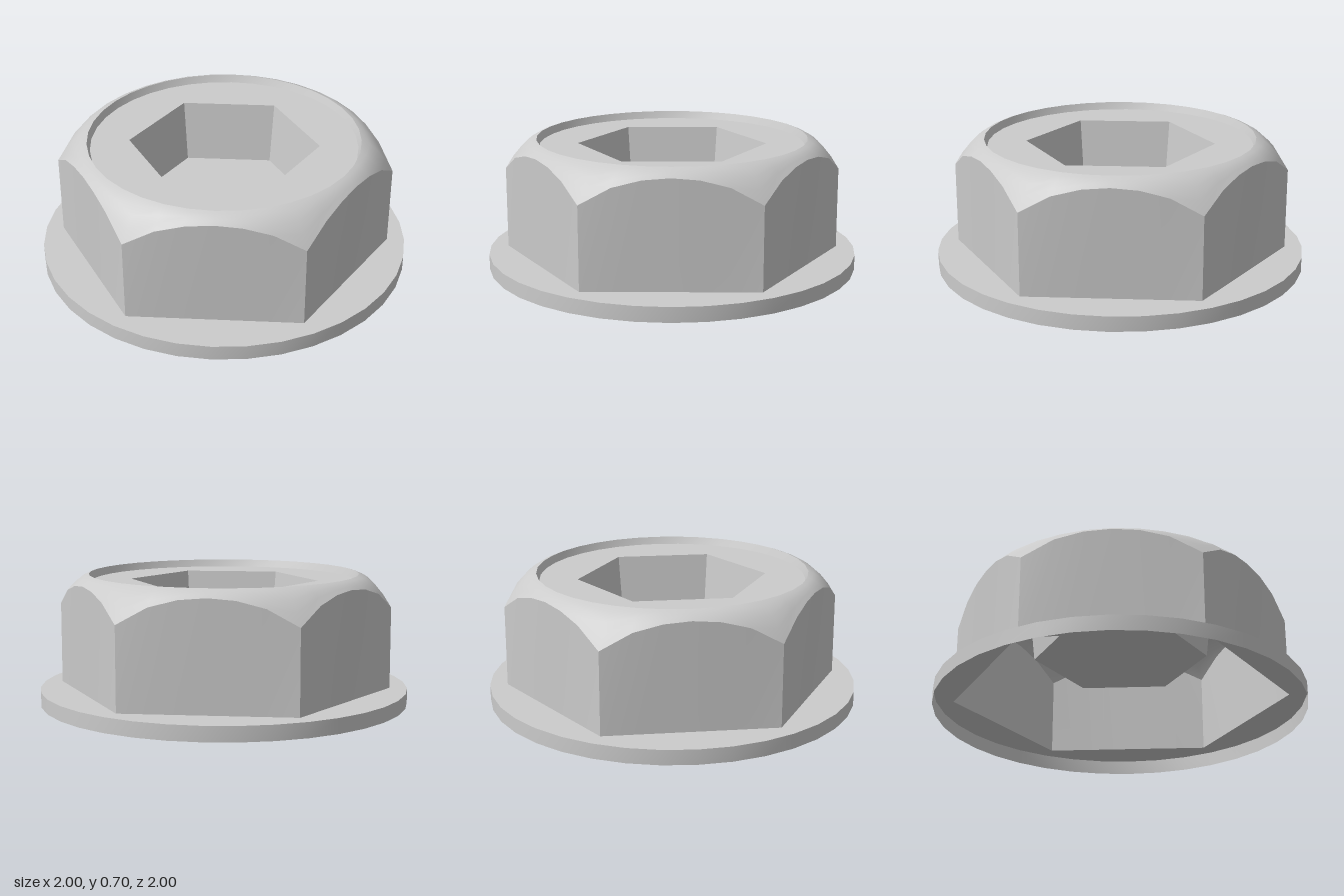
import * as THREE from 'three';

const DEG = Math.PI / 180;
const SEG = 36;
const smooth = new THREE.MeshStandardMaterial({ color: 0xcccccc, side: THREE.DoubleSide });
const flat = new THREE.MeshStandardMaterial({ color: 0xcccccc, side: THREE.DoubleSide, flatShading: true });

// Point on a circle around y; angle 0 faces +z
const polar = (r, y, deg) => [r * Math.sin(deg * DEG), y, r * Math.cos(deg * DEG)];

const circle = (r, y, n = SEG) =>
  Array.from({ length: n }, (_, i) => polar(r, y, (i * 360) / n));

// Skin over rows of points, optionally wrapping round
function loft(rows, closed) {
  const n = rows[0].length;
  const index = [];
  for (let i = 0; i < rows.length - 1; i++) {
    for (let j = 0; j < (closed ? n : n - 1); j++) {
      const k = (j + 1) % n;
      const a = i * n + j, b = i * n + k, c = a + n, d = b + n;
      index.push(a, b, d, a, d, c);
    }
  }
  const geo = new THREE.BufferGeometry();
  geo.setAttribute('position', new THREE.Float32BufferAttribute(rows.flat(2), 3));
  geo.setIndex(index);
  geo.computeVertexNormals();
  return geo;
}

// Horizontal plate from an outer ring and an optional hole
function plate(outer, hole) {
  const to2 = (ring) => ring.map(([x, , z]) => new THREE.Vector2(x, -z));
  const shape = new THREE.Shape(to2(outer));
  if (hole) shape.holes.push(new THREE.Path(to2(hole)));
  return new THREE.ShapeGeometry(shape).rotateX(-Math.PI / 2).translate(0, outer[0][1], 0);
}

export function createModel() {
  const group = new THREE.Group();
  const add = (name, geo, mat = smooth) => {
    const mesh = new THREE.Mesh(geo, mat);
    mesh.name = name;
    group.add(mesh);
  };

  const flangeY = 0.08, topY = 0.7, discY = 0.66, floorY = 0.32;
  const apothem = 0.784, crownR = 0.73;

  // Flange, open underneath
  add('flangeRim', loft([circle(1, 0), circle(1, flangeY)], true));
  add('flangeTop', plate(circle(1, flangeY), circle(0.905, flangeY, 6)));

  // Upper edge of the hexagon, radius by steps of 10 degrees from mid-face
  const edgeR = [0.8, 0.812, 0.846, 0.905];
  const crownY = (r) => topY - 0.266 * (r - crownR) - 4.36 * (r - crownR) ** 2;
  const edgeRadius = (i) => edgeR[Math.abs((i % 6) - 3)];

  // Six side faces with arched tops
  for (let f = 0; f < 6; f++) {
    const low = [], high = [];
    for (let i = 0; i <= 6; i++) {
      const deg = f * 60 + i * 10;
      low.push(polar(apothem / Math.cos((i - 3) * 10 * DEG), flangeY, deg));
      high.push(polar(edgeRadius(i), crownY(edgeRadius(i)), deg));
    }
    add('sideFace' + (f + 1), loft([low, high], false));
  }

  // Domed chamfer from the arched edges up to the round crown
  const steps = 4;
  const dome = [];
  for (let s = 0; s <= steps; s++) {
    dome.push(Array.from({ length: SEG }, (_, i) => {
      const r = THREE.MathUtils.lerp(edgeRadius(i), crownR, s / steps);
      return polar(r, crownY(r), i * 10);
    }));
  }
  add('chamfer', loft(dome, true));

  // Shallow recess in the top
  add('recessWall', loft([circle(crownR, topY), circle(0.715, discY)], true));
  add('recessDisc', plate(circle(0.715, discY), circle(0.51, discY, 6)));

  // Tapered hexagonal socket
  add('socketWalls', loft([circle(0.51, discY, 6), circle(0.472, floorY, 6)], true), flat);
  add('socketFloor', plate(circle(0.472, floorY, 6)));

  return group;
}
